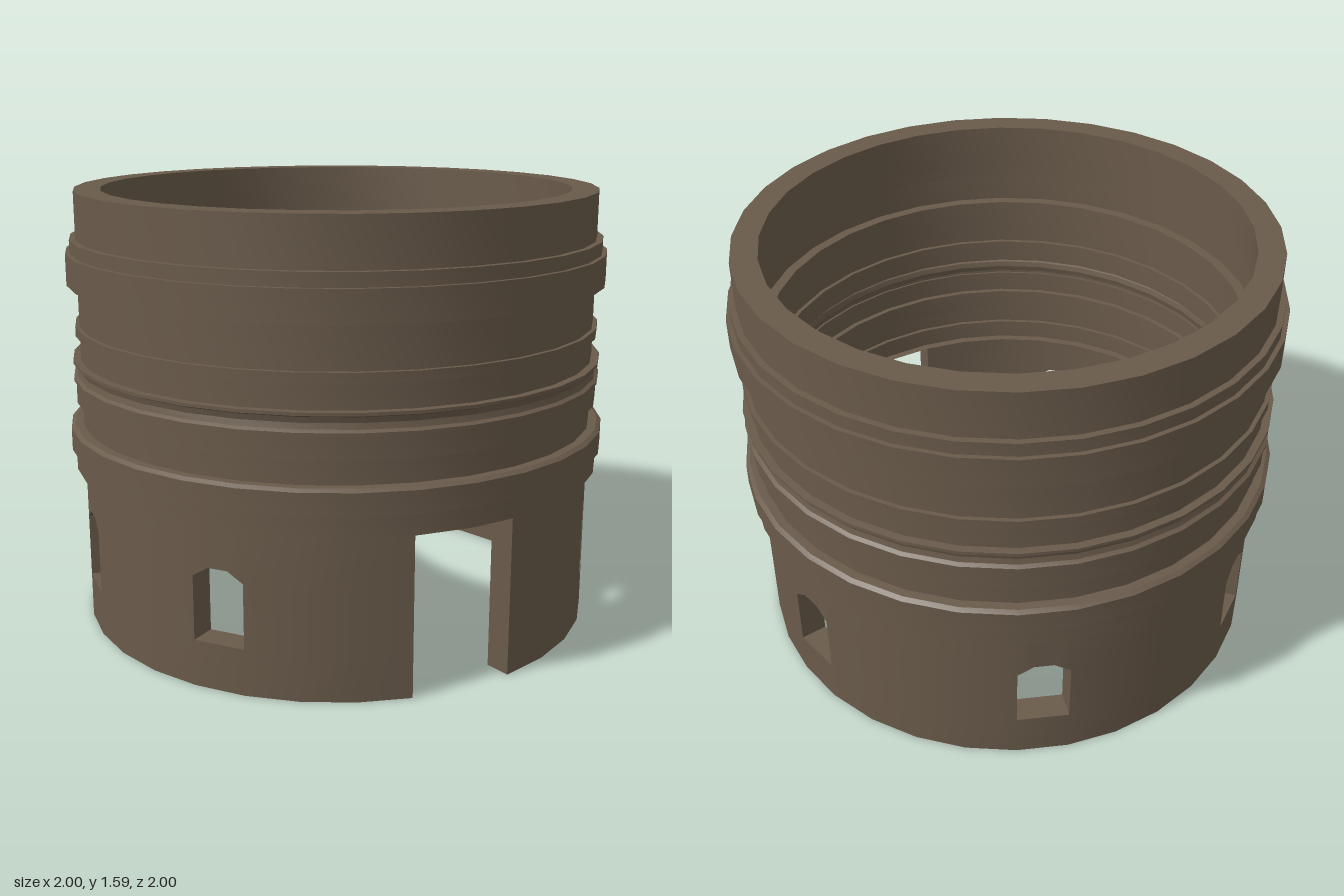
import * as THREE from 'three';
import { toCreasedNormals } from 'three/addons/utils/BufferGeometryUtils.js';

const SIDES = 32, OUTER = 0.952, INNER = 0.857;
const STEP = (Math.PI * 2) / SIDES;
const WALL_TOP = 0.58, SILL = 0.165, SPRING = 0.395, CROWN = 0.43;
const DOOR = [31, 0];
const WINDOWS = [4, 8, 13, 18, 23, 27];

// Point on the flat facet that holds angle position k (in facets from +z)
function onWall(k, r, y) {
  const i = Math.floor(k), t = k - i;
  const a = i * STEP, b = (i + 1) * STEP;
  return [
    r * THREE.MathUtils.lerp(Math.sin(a), Math.sin(b), t), y,
    r * THREE.MathUtils.lerp(Math.cos(a), Math.cos(b), t),
  ];
}

// Lower wall: one column per facet, with a doorway and arched windows left open
function lowerWall() {
  const pos = [];
  const quad = (a, b, c, d) => pos.push(...a, ...b, ...c, ...a, ...c, ...d);

  // outer and inner skin of a panel whose bottom edge may slope
  const skin = (k0, k1, y0, y1, top) => {
    quad(onWall(k0, OUTER, y0), onWall(k1, OUTER, y1), onWall(k1, OUTER, top), onWall(k0, OUTER, top));
    quad(onWall(k1, INNER, y1), onWall(k0, INNER, y0), onWall(k0, INNER, top), onWall(k1, INNER, top));
  };
  // surface through the wall facing down, or up when flipped
  const soffit = (k0, k1, y0, y1, up) => {
    const q = [onWall(k0, INNER, y0), onWall(k1, INNER, y1), onWall(k1, OUTER, y1), onWall(k0, OUTER, y0)];
    quad(...(up ? q.reverse() : q));
  };
  // upright side of an opening, facing growing k, or shrinking k when flipped
  const jamb = (k, y0, y1, flip) => {
    const q = [onWall(k, OUTER, y0), onWall(k, INNER, y0), onWall(k, INNER, y1), onWall(k, OUTER, y1)];
    quad(...(flip ? q.reverse() : q));
  };

  for (let k = 0; k < SIDES; k++) {
    if (DOOR.includes(k)) continue;
    skin(k, k + 1, 0, 0, SILL);
    soffit(k, k + 1, 0, 0, false);
    if (!WINDOWS.includes(k)) {
      skin(k, k + 1, SILL, SILL, SPRING);
      skin(k, k + 1, SPRING, SPRING, WALL_TOP);
      continue;
    }
    soffit(k, k + 1, SILL, SILL, true);
    jamb(k, SILL, SPRING, false);
    jamb(k + 0.99999, SILL, SPRING, true);
    const arch = [[0, SPRING], [0.31, CROWN], [0.69, CROWN], [1, SPRING]];
    for (let i = 0; i < 3; i++) {
      const [t0, y0] = arch[i], [t1, y1] = arch[i + 1];
      skin(k + t0, k + t1, y0, y1, WALL_TOP);
      soffit(k + t0, k + t1, y0, y1, false);
    }
  }
  // door sides
  jamb(31, 0, WALL_TOP, false);
  jamb(1, 0, WALL_TOP, true);

  const geo = new THREE.BufferGeometry();
  geo.setAttribute('position', new THREE.Float32BufferAttribute(pos, 3));
  return toCreasedNormals(geo, 0.35);
}

// Upper shell: stepped bands outside, echoed as shallow recesses inside
function upperShell() {
  const bands = [
    [0.983, 0.58], [0.983, 0.655], [0.998, 0.655], [0.998, 0.735], [0.983, 0.745],
    [OUTER, 0.745], [OUTER, 0.83],
    [0.972, 0.83], [0.972, 0.912], [0.98, 0.912], [0.98, 0.922],
    [0.967, 0.93], [0.962, 0.95], [0.967, 0.97], [0.98, 0.976], [0.98, 0.987],
    [OUTER, 0.987], [OUTER, 1.075],
    [0.967, 1.075], [0.967, 1.11], [OUTER, 1.11], [OUTER, 1.26],
    [0.99, 1.26], [0.99, 1.372], [0.974, 1.372], [0.974, 1.42],
    [OUTER, 1.42], [OUTER, 1.59],
  ];
  const thickness = OUTER - INNER;
  const outside = bands.map(([r, y]) => new THREE.Vector2(r, y));
  const inside = bands.map(([r, y]) => new THREE.Vector2(r - thickness, y)).reverse();
  const profile = [...outside, ...inside, new THREE.Vector2(INNER, WALL_TOP), outside[0].clone()];
  return toCreasedNormals(new THREE.LatheGeometry(profile, SIDES), 0.35);
}

export function createModel() {
  const stone = new THREE.MeshStandardMaterial({ color: 0x6a5b4b });
  stone.name = 'brown stone';

  const group = new THREE.Group();
  group.name = 'roundTower';
  const add = (name, geometry) => {
    const mesh = new THREE.Mesh(geometry, stone);
    mesh.name = name;
    group.add(mesh);
  };
  add('lowerWall', lowerWall());
  add('bandedUpperWall', upperShell());
  return group;
}
